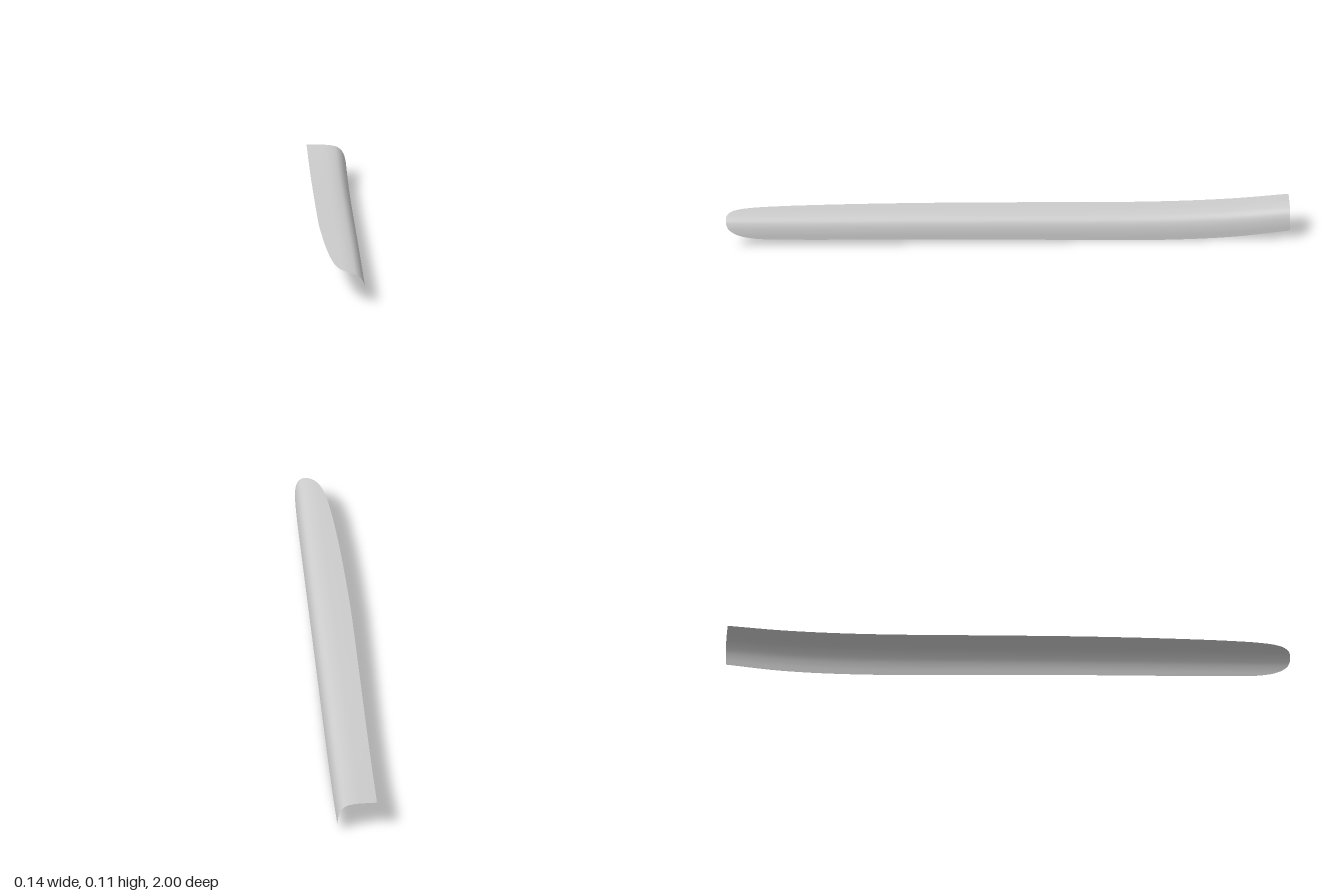
import * as THREE from 'three';

// Cross-section: flat top on the left, rolling down into a side flange (y runs 0 to -1)
const profile = new THREE.CatmullRomCurve3([
  [-0.071, 0], [-0.035, -0.003], [0, -0.015], [0.03, -0.075], [0.05, -0.22],
  [0.06, -0.40], [0.067, -0.68], [0.07, -1],
].map(([x, y]) => new THREE.Vector3(x, y, 0)));

// Stations along the length: z, start and end of the section, top height, section depth
const stations = [
  [-1, 0, 1, 0.114, 0.086],
  [-0.8, 0, 1, 0.100, 0.092],
  [-0.55, 0, 1, 0.093, 0.093],
  [0, 0, 1, 0.098, 0.088],
  [0.2, 0.005, 1, 0.1005, 0.087],
  [0.4, 0.03, 1, 0.103, 0.086],
  [0.6, 0.07, 1, 0.105, 0.086],
  [0.8, 0.14, 0.99, 0.107, 0.086],
  [0.9, 0.21, 0.97, 0.108, 0.086],
  [0.95, 0.29, 0.92, 0.1085, 0.086],
  [0.98, 0.40, 0.85, 0.109, 0.086],
  [0.995, 0.51, 0.77, 0.109, 0.086],
  [1, 0.59, 0.70, 0.109, 0.086],
];

function stripGeometry(rows, cols) {
  const along = new THREE.CubicInterpolant(
    stations.map((s) => s[0]), stations.flatMap((s) => s.slice(1)), 4);
  const positions = [], indices = [];
  for (let i = 0; i <= rows; i++) {
    // rows gather towards the rounded tip
    const z = -1 + 2 * Math.sin((i / rows) * Math.PI / 2);
    const [start, end, top, depth] = along.evaluate(z);
    for (let j = 0; j <= cols; j++) {
      const s = THREE.MathUtils.clamp(THREE.MathUtils.lerp(start, end, j / cols), 0, 1);
      // the curve's own parameter is found from the real, scaled arc length
      const p = profile.getPoint(sectionParameter(s));
      positions.push(p.x, top + p.y * depth, z);
      if (i < rows && j < cols) {
        const a = i * (cols + 1) + j, b = a + cols + 1;
        indices.push(a, b, a + 1, b, b + 1, a + 1);
      }
    }
  }
  const geometry = new THREE.BufferGeometry();
  geometry.setAttribute('position', new THREE.Float32BufferAttribute(positions, 3));
  geometry.setIndex(indices);
  geometry.computeVertexNormals();
  return geometry;
}

// Running length of the section at its typical depth
const lengths = [0];
const section = profile.getPoints(200).map((p) => p.setY(p.y * 0.088));
for (let k = 1; k <= 200; k++) lengths.push(lengths[k - 1] + section[k].distanceTo(section[k - 1]));

function sectionParameter(s) {
  const target = s * lengths[200];
  let k = 1;
  while (k < 200 && lengths[k] < target) k++;
  return (k - 1 + (target - lengths[k - 1]) / (lengths[k] - lengths[k - 1])) / 200;
}

export function createModel() {
  const group = new THREE.Group();
  group.name = 'trimStrip';
  // Thin open shell, square at the back and rounded at the front
  const shell = new THREE.Mesh(
    stripGeometry(100, 28),
    new THREE.MeshStandardMaterial({ color: 0xcccccc, side: THREE.DoubleSide }));
  shell.name = 'curvedShell';
  group.add(shell);
  return group;
}
